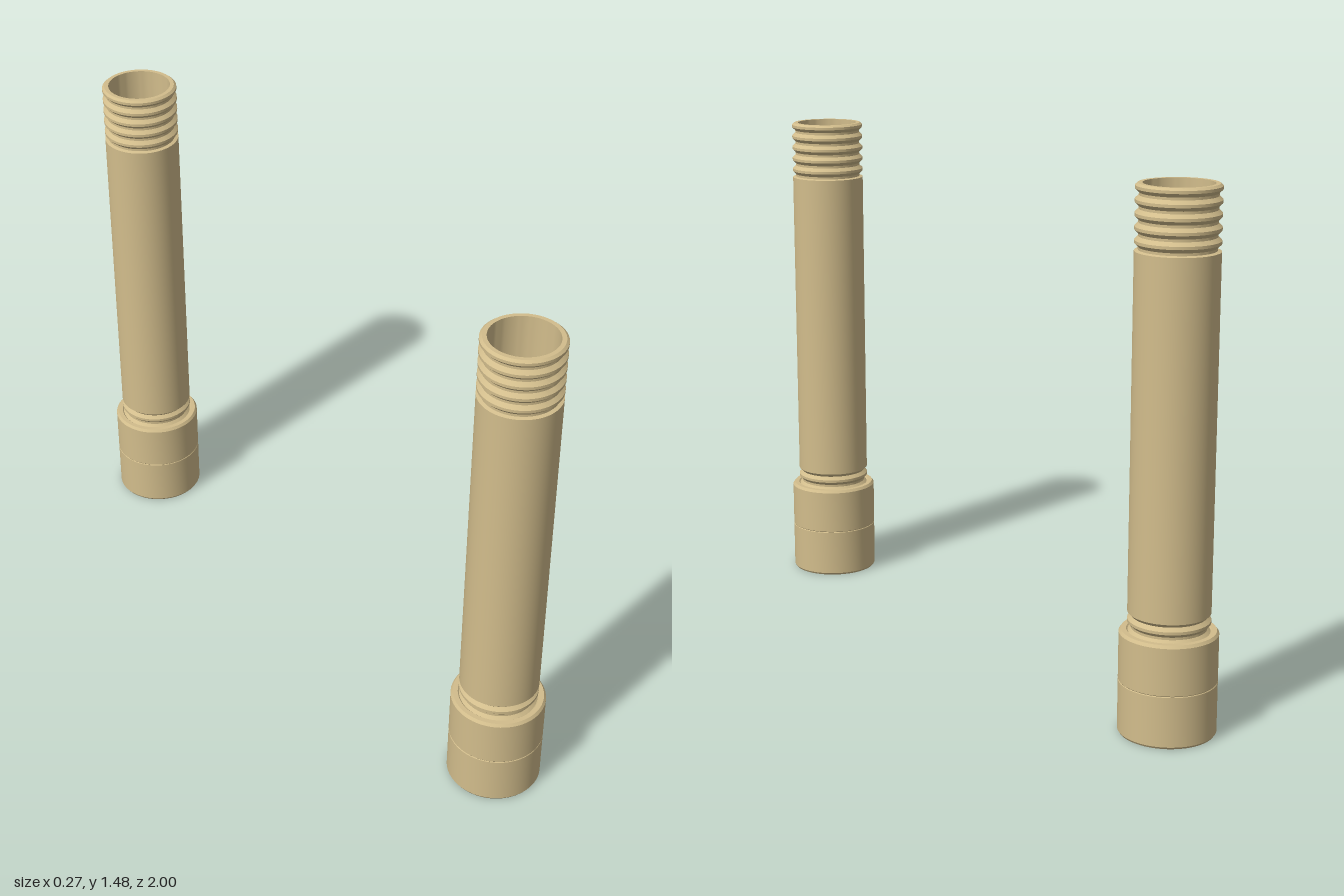
import * as THREE from 'three';
import { toCreasedNormals } from 'three/addons/utils/BufferGeometryUtils.js';

const R = 0.112, ROOT = 0.102, BORE = 0.093, PITCH = 0.035;

// Closed profile turned around y; points run up the outside and down the inside
function turned(name, points, material) {
  const pts = [...points, points[0]].map(([r, y]) => new THREE.Vector2(r, y));
  const geo = toCreasedNormals(new THREE.LatheGeometry(pts, 64), 0.5);
  const mesh = new THREE.Mesh(geo, material);
  mesh.name = name;
  return mesh;
}

// Thread ridges between two heights: root, flank, narrow crest, flank
function thread(y, count, root, crest) {
  const pts = [];
  for (let i = 0; i < count; i++) {
    const b = y + i * PITCH;
    pts.push([root, b], [root, b + 0.007], [crest, b + 0.017], [crest, b + 0.025]);
  }
  return pts;
}

export function createModel() {
  const tan = new THREE.MeshStandardMaterial({ color: 0xd2bd8c });
  const model = new THREE.Group();
  model.name = 'threadedPipes';

  for (const z of [0.866, -0.866]) {
    const unit = new THREE.Group();
    unit.name = z > 0 ? 'frontPipe' : 'backPipe';
    unit.position.z = z;

    // Hollow pipe, threaded at both ends
    unit.add(turned('pipe', [
      [BORE, 0.15], [ROOT, 0.15],
      ...thread(0.155, 5, ROOT, R),
      [ROOT, 0.33], [R, 0.34],
      [R, 1.31],
      ...thread(1.313, 5, ROOT, R),
      [0.105, 1.484], [BORE, 1.484],
    ], tan));

    // Lower sleeve half with an internal thread
    const inside = thread(0.006, 4, R, ROOT + 0.001).reverse();
    unit.add(turned('lowerSleeve', [
      [0.116, 0], [0.13, 0], [0.134, 0.006],
      [0.134, 0.146], [0.1325, 0.148],
      [ROOT, 0.148], ...inside,
    ], tan));

    // Upper sleeve half around the lower pipe thread
    unit.add(turned('upperSleeve', [
      [ROOT, 0.148], [0.1325, 0.148], [0.134, 0.15],
      [0.134, 0.282], [0.128, 0.29],
      [0.114, 0.29], [0.108, 0.284],
    ], tan));

    model.add(unit);
  }
  return model;
}
